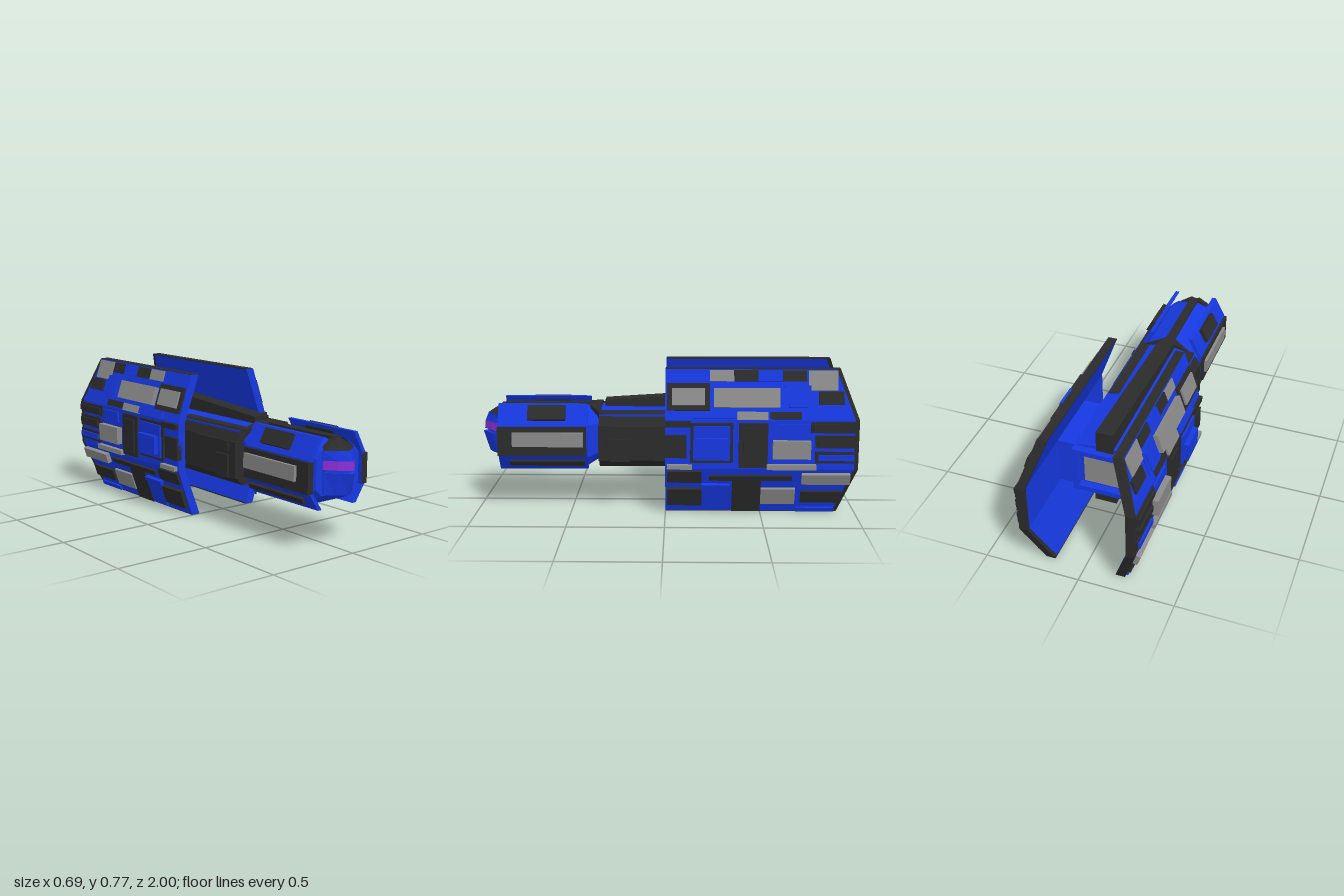
import * as THREE from 'three';

const material = (color) =>
  new THREE.MeshStandardMaterial({ color, flatShading: true });
const BLUE = material(0x1638e0), BLACK = material(0x2b2b2b);
const GREY = material(0x8a8a8a), PURPLE = material(0x8a2fd6);

// Closed solid through loops of equal point count, always wound outward
function loft(loops) {
  const n = loops[0].length, tris = [];
  for (let i = 0; i < loops.length - 1; i++) {
    for (let j = 0; j < n; j++) {
      const k = (j + 1) % n;
      const a = loops[i][j], b = loops[i][k], c = loops[i + 1][k], d = loops[i + 1][j];
      tris.push([a, b, c], [a, c, d]);
    }
  }
  const first = loops[0], last = loops[loops.length - 1];
  for (let j = 1; j < n - 1; j++) {
    tris.push([first[0], first[j + 1], first[j]], [last[0], last[j], last[j + 1]]);
  }
  let volume = 0;
  for (const [a, b, c] of tris) {
    volume += a[0] * (b[1] * c[2] - b[2] * c[1]) + a[1] * (b[2] * c[0] - b[0] * c[2])
      + a[2] * (b[0] * c[1] - b[1] * c[0]);
  }
  if (volume < 0) tris.forEach((t) => t.reverse());
  const geo = new THREE.BufferGeometry();
  geo.setAttribute('position', new THREE.Float32BufferAttribute(tris.flat(2), 3));
  geo.computeVertexNormals();
  return geo;
}

// Bent slab from levels [y, inner x, outer x, front z, back z]
const slab = (side, levels) => loft(levels.map(([y, xi, xo, zf, zb]) => [
  [side * xi, y, zf], [side * xo, y, zf], [side * xo, y, zb], [side * xi, y, zb],
]));

function add(parent, name, geometry, mat) {
  const mesh = new THREE.Mesh(geometry, mat);
  mesh.name = name;
  parent.add(mesh);
  return mesh;
}

function box(parent, name, mat, [x0, x1], [y0, y1], [z0, z1]) {
  const mesh = add(parent, name,
    new THREE.BoxGeometry(Math.abs(x1 - x0), Math.abs(y1 - y0), Math.abs(z1 - z0)), mat);
  mesh.position.set((x0 + x1) / 2, (y0 + y1) / 2, (z0 + z1) / 2);
}

// Plate lying on a bent outer face: skin = [lower y, upper y, middle x, slope]
function plate(parent, side, skin, name, [z0, z1, y0, y1, mat, t]) {
  const [low, high, xMid, slope] = skin, yc = (y0 + y1) / 2;
  const dir = yc > high ? 1 : yc < low ? -1 : 0;
  const over = dir > 0 ? yc - high : dir < 0 ? low - yc : 0;
  const angle = dir * Math.atan(slope);
  const depth = t + 0.02, out = depth / 2 - 0.02;
  const mesh = add(parent, name,
    new THREE.BoxGeometry(depth, (y1 - y0) / Math.cos(angle), Math.abs(z1 - z0)), mat);
  mesh.position.set(side * (xMid - over * slope + out * Math.cos(angle)),
    yc + out * Math.sin(angle), (z0 + z1) / 2);
  mesh.rotation.z = side * angle;
}

// Single wing plates: z front, z back, y low, y high, material, thickness
const WING_PLATES = [
  [-0.74, -0.89, 0.665, 0.765, GREY, 0.006], [-0.25, -0.59, 0.58, 0.675, GREY, 0.025],
  [-0.79, -0.92, 0.595, 0.66, BLACK, 0.012], [-0.37, -0.53, 0.52, 0.56, GREY, 0.012],
  [-0.14, -0.36, 0.525, 0.56, BLUE, 0.018], [-0.54, -0.7, 0.525, 0.56, BLACK, 0.008],
  [0, -0.13, 0.485, 0.515, BLACK, 0.018], [-0.16, -0.32, 0.33, 0.43, BLUE, 0.047],
  [-0.555, -0.75, 0.32, 0.415, GREY, 0.032], [-0.58, -0.74, 0.44, 0.5, BLUE, 0.01],
  [0, -0.11, 0.32, 0.44, BLACK, 0.012], [-0.525, -0.78, 0.262, 0.288, GREY, 0.027],
  [-0.01, -0.14, 0.262, 0.285, GREY, 0.025], [-0.01, -0.19, 0.185, 0.25, BLACK, 0.012],
  [-0.23, -0.66, 0.2, 0.226, BLACK, 0.015], [-0.71, -0.96, 0.185, 0.24, GREY, 0.025],
  [-0.19, -0.34, 0.155, 0.175, BLUE, 0.022], [-0.01, -0.19, 0.055, 0.15, BLACK, 0.022],
  [-0.21, -0.34, 0.02, 0.15, BLUE, 0.012], [-0.5, -0.68, 0.06, 0.15, GREY, 0.015],
  [-0.71, -0.92, 0.07, 0.135, BLACK, 0.015], [-0.69, -0.89, 0.012, 0.035, BLUE, 0.01],
];

// Stepped wing panels: z front, z back, y low, y high, base, top, margin
const WING_PANELS = [
  [-0.01, -0.23, 0.565, 0.7, BLACK, GREY, 0.025], [-0.62, -0.75, 0.565, 0.69, BLUE, BLUE, 0.015],
  [-0.13, -0.35, 0.295, 0.505, BLACK, BLUE, 0.015], [-0.38, -0.53, 0.27, 0.505, BLACK, BLACK, 0.025],
  [-0.775, -0.99, 0.375, 0.44, BLACK, BLACK, 0.015], [-0.775, -0.99, 0.295, 0.355, BLACK, BLUE, 0.015],
  [-0.75, -0.99, 0.455, 0.512, BLACK, BLACK, 0.012],
];

// Cheek plates, in the same order as the single wing plates
const CHEEK_PLATES = [
  [0.89, 0.42, 0.3, 0.455, BLACK, 0.014], [0.81, 0.435, 0.352, 0.428, GREY, 0.03],
  [0.73, 0.53, 0.485, 0.555, BLACK, 0.022], [0.83, 0.43, 0.245, 0.272, BLACK, 0.014],
];

function buildWing(side) {
  const wing = new THREE.Group();
  wing.name = side > 0 ? 'leftWing' : 'rightWing';
  const levels = [[0.01, 0.163, 0.212, -0.9], [0.26, 0.255, 0.298, -0.993],
    [0.52, 0.255, 0.298, -0.993], [0.77, 0.163, 0.212, -0.9]];
  add(wing, 'wingPanel', slab(side, levels.map(([y, a, b, z]) => [y, a, b, 0, z])), BLUE);
  // dark trim along the back, top and bottom edges
  add(wing, 'backTrim', slab(side,
    levels.map(([y, a, b, z]) => [y, a - 0.001, b + 0.001, z + 0.015, z - 0.006])), BLACK);
  for (const y of [0.01, 0.77]) {
    box(wing, 'edgeTrim', BLACK, [side * 0.163, side * 0.21],
      [y - 0.003, y + 0.003], [-0.003, -0.905]);
  }
  // outer plating
  const lay = (...spec) => plate(wing, side, [0.26, 0.52, 0.298, 0.34], 'hullPlate', spec);
  for (const spec of WING_PLATES) lay(...spec);
  for (const [z0, z1, y0, y1, base, top, m] of WING_PANELS) {
    lay(z0, z1, y0, y1, base, 0.01);
    lay(z0 - m, z1 + m, y0 + m, y1 - m, top, 0.021);
  }
  // row of tiles under the top edge, and the lower end of the dark centre band
  [GREY, BLACK, BLUE, BLACK].forEach((mat, i) => {
    lay(-0.23 - i * 0.125, -0.355 - i * 0.125, 0.71, 0.765, mat, 0.006 + (i % 3) * 0.003);
  });
  lay(-0.35, -0.5, 0.012, 0.195, BLACK, 0.008);
  box(wing, 'pylon', BLUE, [side * 0.15, side * 0.258], [0.262, 0.518], [-0.25, -0.6]);
  return wing;
}

// Symmetric cross-section from its left-hand points, ordered top to bottom
const section = (half, z) => [...half, ...half.slice().reverse().map(([x, y]) => [-x, y])]
  .map(([x, y]) => [x, y, z]);

function buildBody() {
  const body = new THREE.Group();
  body.name = 'body';
  const hull = [[0.045, 0.54], [0.165, 0.518], [0.165, 0.262], [0.06, 0.235]];
  add(body, 'hull', loft([section(hull, -0.6), section(hull, 0.35)]), BLUE);
  // rear frame with inset panel
  for (const s of [1, -1]) {
    box(body, 'rearFrame', BLUE, [s * 0.135, s * 0.165], [0.262, 0.518], [-0.64, -0.59]);
  }
  for (const y of [0.262, 0.49]) {
    box(body, 'rearFrame', BLUE, [-0.135, 0.135], [y, y + 0.028], [-0.64, -0.59]);
  }
  box(body, 'rearPanel', GREY, [-0.11, 0.11], [0.31, 0.47], [-0.615, -0.59]);
  // spine and keel taper toward the front
  const bar = (w, y0, y1, z) => section([[w, y1], [w, y0]], z);
  add(body, 'spine', loft([bar(0.045, 0.5, 0.635, -0.61), bar(0.045, 0.5, 0.575, 0.325)]), BLACK);
  add(body, 'keel', loft([bar(0.058, 0.195, 0.28, -0.61), bar(0.058, 0.22, 0.28, 0.35)]), BLACK);
  // dark side armour
  for (const s of [1, -1]) {
    const levels = [[0.235, 0.15], [0.275, 0.19], [0.46, 0.19], [0.53, 0.155]];
    add(body, 'sideArmour', slab(s, levels.map(([y, x]) => [y, 0.1, x, 0.352, -0.15])), BLACK);
    box(body, 'sidePlate', BLACK, [s * 0.18, s * 0.202], [0.27, 0.39], [0.19, 0.29]);
    box(body, 'sidePlate', BLACK, [s * 0.18, s * 0.2], [0.275, 0.465], [0.31, 0.355]);
    box(body, 'sidePlate', BLACK, [s * 0.18, s * 0.197], [0.41, 0.46], [0.02, 0.29]);
  }
  return body;
}

// V-shaped outline of the nose at one height
function prow(y, w, tip) {
  const knee = 0.89 + (tip - 0.89) * 0.55;
  return [[w, 0.86], [w, 0.89], [w * 0.55, knee], [0, tip],
    [-w * 0.55, knee], [-w, 0.89], [-w, 0.86]].map(([x, z]) => [x, y, z]);
}

function buildHead() {
  const head = new THREE.Group();
  head.name = 'head';
  const full = [[0.025, 0.545], [0.125, 0.51], [0.165, 0.46], [0.165, 0.285], [0.13, 0.232]];
  const face = [[0.025, 0.52], [0.11, 0.5], [0.14, 0.465], [0.14, 0.315], [0.105, 0.28]];
  add(head, 'skull', loft([section(face, 0.34), section(full, 0.42), section(full, 0.83),
    section(face, 0.885)]), BLUE);
  // dark collar behind the head, and crest along its top
  add(head, 'collar', loft([section([[0.045, 0.56], [0.145, 0.525], [0.145, 0.48]], 0.345),
    section([[0.02, 0.56], [0.04, 0.545], [0.04, 0.5]], 0.41)]), BLACK);
  box(head, 'crest', BLACK, [-0.025, 0.025], [0.5, 0.556], [0.36, 0.87]);
  // nose stacked from jaw, visor and brow
  add(head, 'jaw', loft([prow(0.285, 0.095, 0.965), prow(0.395, 0.1, 0.998)]), BLUE);
  add(head, 'mouthGap', loft([prow(0.39, 0.095, 0.97), prow(0.412, 0.095, 0.97)]), BLUE);
  add(head, 'visor', loft([prow(0.408, 0.1, 0.99), prow(0.453, 0.1, 0.985)]), PURPLE);
  add(head, 'brow', loft([prow(0.453, 0.102, 0.985), prow(0.5, 0.1, 0.965)]), BLUE);
  add(head, 'browCap', loft([prow(0.5, 0.1, 0.963), prow(0.55, 0.025, 0.88)]), BLACK);
  // angled cheek guards
  for (const s of [1, -1]) {
    const levels = [[0.213, 0.103], [0.3, 0.16], [0.46, 0.16], [0.567, 0.103]];
    add(head, 'cheekGuard', slab(s, levels.map(([y, x]) => [y, x, x + 0.023, 0.888, 0.415])), BLUE);
    for (const spec of CHEEK_PLATES) plate(head, s, [0.3, 0.46, 0.183, 0.55], 'cheekPlate', spec);
  }
  return head;
}

export function createModel() {
  const model = new THREE.Group();
  model.name = 'spacecraft';
  model.add(buildBody(), buildHead(), buildWing(1), buildWing(-1));
  return model;
}
